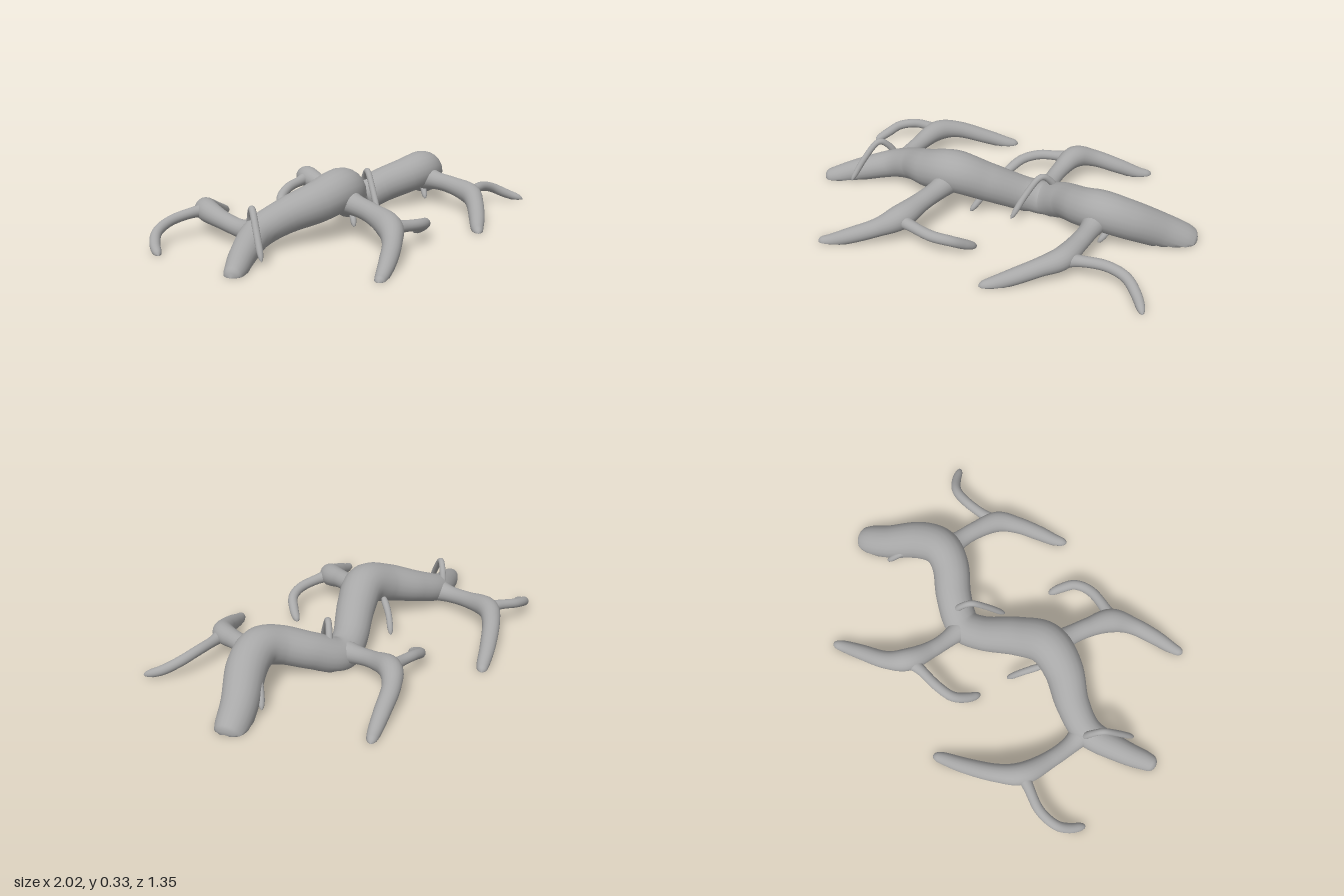
import * as THREE from 'three';

const SIDES = 20;
const bark = new THREE.MeshStandardMaterial({ color: 0xa8a8a8 });
bark.name = 'grey bark';

// Sweeps a round section along [x, y, z, radius] points, rounds both ends
// and presses everything below the ground flat.
function root(name, pts) {
  const path = new THREE.CatmullRomCurve3(
    pts.map(p => new THREE.Vector3(p[0], p[1], p[2])), false, 'catmullrom', 0.5);
  const girth = new THREE.CatmullRomCurve3(
    pts.map(p => new THREE.Vector3(p[3], 0, 0)), false, 'catmullrom', 0.5);
  const rings = (pts.length - 1) * 10;
  const up = new THREE.Vector3(0, 1, 0);
  const pos = [], index = [];
  for (let i = 0; i <= rings; i++) {
    const t = i / rings;
    const c = path.getPoint(t), tan = path.getTangent(t);
    const side = new THREE.Vector3().crossVectors(tan, up).normalize();
    const nor = new THREE.Vector3().crossVectors(side, tan);
    const k = Math.min(1, Math.min(i, rings - i) / 5);
    const r = girth.getPoint(t).x * Math.sqrt(1 - (1 - k) ** 2);
    for (let j = 0; j < SIDES; j++) {
      const a = (j / SIDES) * Math.PI * 2;
      const v = c.clone().addScaledVector(side, Math.cos(a) * r).addScaledVector(nor, Math.sin(a) * r);
      pos.push(v.x, Math.max(0, v.y), v.z);
      if (i < rings) {
        const p = i * SIDES + j, q = i * SIDES + (j + 1) % SIDES;
        index.push(p, p + SIDES, q, q, p + SIDES, q + SIDES);
      }
    }
  }
  const geo = new THREE.BufferGeometry();
  geo.setAttribute('position', new THREE.Float32BufferAttribute(pos, 3));
  geo.setIndex(index);
  geo.computeVertexNormals();
  const mesh = new THREE.Mesh(geo, bark);
  mesh.name = name;
  return mesh;
}

export function createModel() {
  const group = new THREE.Group();
  group.name = 'treeRoots';
  const add = (name, ...pts) => group.add(root(name, pts));

  // Winding main root with two humps
  add('mainRoot',
    [-1, 0, 0.11, 0.035], [-0.94, 0.01, 0.085, 0.05], [-0.82, 0.045, 0.025, 0.062],
    [-0.65, 0.09, -0.035, 0.075], [-0.5, 0.14, 0, 0.085], [-0.35, 0.19, 0.08, 0.1],
    [-0.2, 0.222, 0.105, 0.108], [-0.06, 0.165, 0.045, 0.1], [0.1, 0.08, -0.055, 0.09],
    [0.22, 0.055, -0.09, 0.09], [0.35, 0.11, -0.03, 0.092], [0.47, 0.16, 0.06, 0.096],
    [0.58, 0.18, 0.09, 0.1], [0.7, 0.14, 0.05, 0.098], [0.84, 0.055, -0.05, 0.088],
    [0.94, 0, -0.105, 0.08], [1, -0.03, -0.13, 0.06]);

  // Four side roots, each with a thinner fork
  add('backRightRoot',
    [-0.63, 0.09, -0.04, 0.07], [-0.635, 0.085, -0.14, 0.046], [-0.62, 0.1, -0.27, 0.044],
    [-0.58, 0.12, -0.42, 0.056], [-0.49, 0.105, -0.51, 0.046], [-0.35, 0.05, -0.59, 0.04],
    [-0.24, 0.01, -0.64, 0.032], [-0.185, 0, -0.67, 0.02]);
  add('backRightFork',
    [-0.57, 0.12, -0.42, 0.04], [-0.65, 0.12, -0.45, 0.027], [-0.76, 0.1, -0.485, 0.025],
    [-0.86, 0.07, -0.475, 0.025], [-0.92, 0.03, -0.43, 0.025], [-0.965, 0, -0.36, 0.02]);

  add('backLeftRoot',
    [0.2, 0.07, -0.08, 0.07], [0.2, 0.085, -0.2, 0.046], [0.21, 0.105, -0.31, 0.044],
    [0.245, 0.128, -0.44, 0.058], [0.33, 0.1, -0.52, 0.046], [0.46, 0.05, -0.575, 0.04],
    [0.56, 0.01, -0.615, 0.032], [0.625, 0, -0.65, 0.02]);
  add('backLeftFork',
    [0.25, 0.125, -0.44, 0.045], [0.16, 0.12, -0.43, 0.028], [0.05, 0.105, -0.425, 0.026],
    [-0.04, 0.07, -0.4, 0.026], [-0.09, 0.03, -0.34, 0.025], [-0.115, 0, -0.275, 0.018]);

  add('frontRightRoot',
    [-0.21, 0.19, 0.1, 0.08], [-0.235, 0.17, 0.22, 0.053], [-0.27, 0.155, 0.34, 0.05],
    [-0.32, 0.125, 0.465, 0.062], [-0.41, 0.085, 0.54, 0.046], [-0.53, 0.04, 0.595, 0.04],
    [-0.63, 0.005, 0.63, 0.03], [-0.685, 0, 0.65, 0.02]);
  add('frontRightFork',
    [-0.33, 0.12, 0.465, 0.045], [-0.25, 0.115, 0.495, 0.029], [-0.13, 0.1, 0.515, 0.027],
    [-0.04, 0.08, 0.49, 0.026], [0.01, 0.04, 0.435, 0.025], [0.045, 0, 0.375, 0.018]);

  add('frontLeftRoot',
    [0.565, 0.15, 0.09, 0.08], [0.56, 0.135, 0.2, 0.05], [0.545, 0.125, 0.31, 0.047],
    [0.51, 0.105, 0.435, 0.055], [0.43, 0.08, 0.51, 0.045], [0.33, 0.04, 0.575, 0.04],
    [0.25, 0.01, 0.62, 0.032], [0.19, 0, 0.66, 0.02]);
  add('frontLeftFork',
    [0.5, 0.1, 0.44, 0.045], [0.59, 0.1, 0.415, 0.028], [0.71, 0.098, 0.4, 0.026],
    [0.81, 0.075, 0.415, 0.026], [0.88, 0.035, 0.47, 0.025], [0.935, 0, 0.55, 0.018]);

  // Thin arched rootlets springing from the top of the main root
  for (const [n, x, z] of [['Right', -0.67, -0.06], ['Left', 0.265, -0.07]]) {
    add('archedRootlet' + n,
      [x + 0.02, 0.11, z - 0.02, 0.02], [x - 0.01, 0.185, z + 0.01, 0.017],
      [x - 0.05, 0.218, z + 0.055, 0.016], [x - 0.1, 0.14, z + 0.12, 0.016],
      [x - 0.15, 0.025, z + 0.19, 0.015]);
  }

  // Short straight rootlets reaching down from the humps, front and back
  for (const [n, x, y, z] of [['Right', -0.23, 0.16, -0.01], ['Left', 0.7, 0.15, -0.02]]) {
    add('backRootlet' + n,
      [x - 0.03, y, z + 0.04, 0.02], [x + 0.03, y * 0.65, z - 0.05, 0.017],
      [x + 0.08, 0.02, z - 0.11, 0.016]);
  }
  for (const [n, x] of [['Right', -0.11], ['Left', 0.58]]) {
    add('frontRootlet' + n,
      [x + 0.09, 0.15, 0.04, 0.02], [x + 0.045, 0.085, 0.08, 0.017], [x, 0.015, 0.125, 0.015]);
  }
  return group;
}
